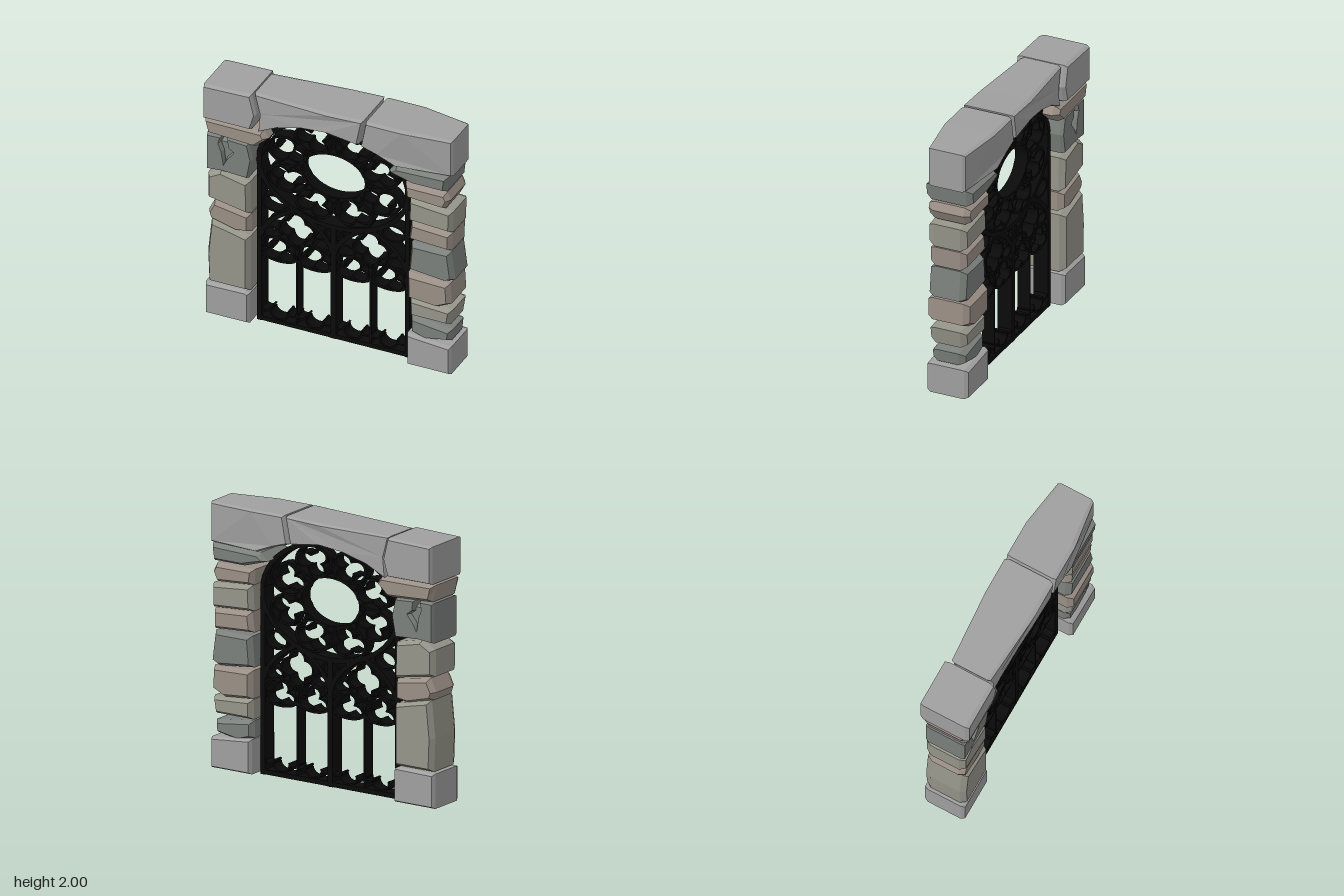
import * as THREE from 'three';

const GREY = 0xa0a0a0, BROWN = 0x9a8f86, TAN = 0x96958a, SLATE = 0x7b807c;
const materials = {};
const mat = (color) => (materials[color] ??= new THREE.MeshStandardMaterial({ color, flatShading: true }));

// Chamfered stone block from its front outline; taper(x) scales its depth
function stone(name, color, outline, half, { bevel = 0.025, chamfer = 0.045, taper } = {}) {
  const shape = new THREE.Shape(outline.map(([x, y]) => new THREE.Vector2(x, y)));
  const geo = new THREE.ExtrudeGeometry(shape, {
    depth: 2 * (half - chamfer), steps: 1, bevelEnabled: true, bevelSegments: 1,
    bevelSize: bevel, bevelOffset: -bevel, bevelThickness: chamfer,
  });
  geo.translate(0, 0, chamfer - half);
  if (taper) {
    const p = geo.attributes.position;
    for (let i = 0; i < p.count; i++) p.setZ(i, p.getZ(i) * taper(p.getX(i)));
    geo.computeVertexNormals();
  }
  const mesh = new THREE.Mesh(geo, mat(color));
  mesh.name = name;
  return mesh;
}

// Rectangular bar swept along a flat path
function bar(name, path, width, half = 0.05, closed = false) {
  const n = path.length, pos = [], loops = [];
  const quad = (a, b, c, d) => pos.push(...a, ...b, ...c, ...a, ...c, ...d);
  for (let i = 0; i < n; i++) {
    const a = path[closed ? (i + n - 1) % n : Math.max(i - 1, 0)];
    const b = path[closed ? (i + 1) % n : Math.min(i + 1, n - 1)];
    const len = Math.hypot(b[0] - a[0], b[1] - a[1]) || 1;
    const nx = -(b[1] - a[1]) / len * width / 2, ny = (b[0] - a[0]) / len * width / 2;
    const [x, y] = path[i];
    loops.push([[x + nx, y + ny, half], [x - nx, y - ny, half], [x - nx, y - ny, -half], [x + nx, y + ny, -half]]);
  }
  for (let i = 0; i < (closed ? n : n - 1); i++) {
    const s = loops[i], e = loops[(i + 1) % n];
    for (let k = 0; k < 4; k++) {
      const q = (k + 1) % 4;
      quad(s[q], e[q], e[k], s[k]);
    }
  }
  if (!closed) {
    const [a, b, c, d] = loops[0];
    quad(a, d, c, b);
    quad(...loops[n - 1]);
  }
  const geo = new THREE.BufferGeometry();
  geo.setAttribute('position', new THREE.Float32BufferAttribute(pos, 3));
  geo.computeVertexNormals();
  const mesh = new THREE.Mesh(geo, mat(0x0a0a0a));
  mesh.name = name;
  return mesh;
}

function arc(cx, cy, rx, ry, from = 0, to = 2 * Math.PI, steps = 32) {
  const pts = [];
  const full = Math.abs(to - from) > 6.28;
  for (let i = 0; i < steps + (full ? 0 : 1); i++) {
    const t = from + (to - from) * i / steps;
    pts.push([cx + rx * Math.cos(t), cy + ry * Math.sin(t)]);
  }
  return pts;
}

// Outline of n round lobes meeting in cusps
function foil(cx, cy, rx, ry, n, turn) {
  const pts = [], s = 0.5, r = 0.47, sweep = Math.PI / n + Math.asin(s * Math.sin(Math.PI / n) / r);
  for (let k = 0; k < n; k++) {
    const t = turn + 2 * Math.PI * k / n;
    for (let i = 0; i < 12; i++) {
      const a = t - sweep + 2 * sweep * i / 12;
      pts.push([cx + rx * (s * Math.cos(t) + r * Math.cos(a)), cy + ry * (s * Math.sin(t) + r * Math.sin(a))]);
    }
  }
  return pts;
}

function buildTracery() {
  const g = new THREE.Group();
  g.name = 'tracery';
  g.position.x = -0.007;
  const thin = 0.014, deep = 0.058;
  const ring = (name, cx, cy, rx, ry, w = thin, d = 0.05) => g.add(bar(name, arc(cx, cy, rx, ry, 0, 2 * Math.PI, rx > 0.2 ? 48 : 28), w, d, true));

  // Outer frame
  g.add(bar('sill', [[-0.605, 0.02], [0.605, 0.02]], 0.035, deep));
  g.add(bar('centreMullion', [[0, 0], [0, 0.95]], 0.045, deep));
  for (const s of [-1, 1]) g.add(bar('jamb', [[s * 0.588, 0], [s * 0.588, 1.4]], 0.038, deep));

  // Rose
  const cy = 1.375;
  ring('roseRim', 0, cy, 0.592, 0.43, 0.036, deep);
  ring('oculus', 0, cy, 0.255, 0.182);
  for (let i = 0; i < 8; i++) {
    const a = (i + 0.5) * Math.PI / 4, x = 0.4 * Math.cos(a), y = cy + 0.3 * Math.sin(a);
    ring('roseCircle', x, y, 0.152, 0.114);
    g.add(bar('roseTrefoil', foil(x, y, 0.15, 0.112, 3, a + Math.PI), thin, 0.05, true));
  }
  ring('centreEye', 0, 0.89, 0.068, 0.05);

  for (const s of [-1, 1]) {
    const mid = s * 0.293;
    ring('spandrelEye', s * 0.475, 1.015, 0.092, 0.064);
    // Pointed arch of each half
    for (const side of [-1, 1]) {
      const foot = mid + side * 0.285;
      g.add(bar('pointedArch', new THREE.QuadraticBezierCurve(
        new THREE.Vector2(foot, 0.72), new THREE.Vector2(foot - side * 0.03, 0.88), new THREE.Vector2(mid, 1.01),
      ).getPoints(14).map((p) => [p.x, p.y]), 0.034, deep));
      ring('smallEye', mid + side * 0.195, 0.765, 0.068, 0.046);

      // One light: round head, trefoil, and cusped foot
      const x = mid + side * 0.14, w = 0.136;
      g.add(bar('lightHead', arc(x, 0.62, w, 0.115, 0, Math.PI, 20), thin));
      g.add(bar('lightTrefoil', foil(x, 0.615, 0.135, 0.105, 3, Math.PI / 2), thin, 0.05, true));
      g.add(bar('lightTransom', arc(x, 0.58, w, 0.05, Math.PI, 2 * Math.PI, 12), thin));
      g.add(bar('lightFoot', arc(x, 0.095, 0.07, 0.055, Math.PI, 2 * Math.PI, 12), thin));
      for (const e of [-1, 1]) {
        g.add(bar('footCusp', arc(x + e * 0.107, 0.128, 0.042, 0.042, Math.PI * 1.5 - e * 1.3, Math.PI * 1.5 + e * 1.3, 8), thin));
      }
    }
    g.add(bar('archQuatrefoil', foil(mid, 0.835, 0.142, 0.138, 4, 0), thin, 0.05, true));
    g.add(bar('thinMullion', [[mid, 0.02], [mid, 0.7]], thin));
  }
  return g;
}

export function createModel() {
  const model = new THREE.Group();
  const add = (...args) => model.add(stone(...args));

  // Lintel blocks
  add('lintelLeft', GREY, [[-0.98, 1.69], [-0.6, 1.69], [-0.56, 1.82], [-0.6, 1.98], [-0.98, 1.97]], 0.2, { bevel: 0.012, chamfer: 0.03 });
  add('lintelMiddle', GREY, [[-0.56, 1.66], [-0.4, 1.74], [-0.2, 1.8], [0, 1.825], [0.25, 1.79], [0.29, 2], [0, 1.99], [-0.59, 1.98], [-0.55, 1.82]], 0.2,
    { bevel: 0.012, chamfer: 0.03, taper: (x) => 1 - 0.35 * Math.max(0, -x) });
  add('lintelRight', GREY, [[0.27, 1.79], [0.4, 1.75], [0.55, 1.69], [0.98, 1.69], [0.98, 1.99], [0.6, 2], [0.31, 2]], 0.2,
    { bevel: 0.012, chamfer: 0.03, taper: (x) => 1 - 0.72 * Math.max(0, x - 0.6) });

  // Left pillar
  add('baseLeft', GREY, [[-0.98, 0.01], [-0.63, 0.01], [-0.63, 0.26], [-0.66, 0.275], [-0.98, 0.27]], 0.165, { bevel: 0.015, chamfer: 0.03 });
  [
    [TAN, [[-0.96, 0.28], [-0.63, 0.28], [-0.63, 0.74], [-0.75, 0.77], [-0.94, 0.81], [-0.97, 0.53]], 0.165],
    [BROWN, [[-0.95, 0.81], [-0.74, 0.755], [-0.63, 0.77], [-0.63, 0.92], [-0.92, 0.97], [-0.97, 0.87]], 0.15],
    [TAN, [[-0.97, 0.99], [-0.63, 0.93], [-0.635, 1.2], [-0.86, 1.25], [-0.97, 1.19]], 0.16],
    [BROWN, [[-0.99, 1.68], [-0.52, 1.68], [-0.48, 1.62], [-0.58, 1.53], [-0.96, 1.55]], 0.18],
  ].forEach(([c, o, h]) => add('pillarStoneLeft', c, o, h));
  // Stone with a chipped crack over a shallower core
  add('crackedStone', SLATE, [[-0.97, 1.24], [-0.84, 1.25], [-0.64, 1.24], [-0.61, 1.4], [-0.64, 1.53], [-0.81, 1.54], [-0.8, 1.46], [-0.76, 1.43],
    [-0.81, 1.37], [-0.83, 1.32], [-0.84, 1.42], [-0.865, 1.48], [-0.85, 1.54], [-0.97, 1.54]], 0.16, { bevel: 0.01, chamfer: 0.03 });
  add('crackedStoneCore', SLATE, [[-0.95, 1.27], [-0.66, 1.27], [-0.66, 1.51], [-0.95, 1.51]], 0.12);

  // Right pillar
  add('baseRight', GREY, [[0.62, 0.01], [0.97, 0.01], [0.97, 0.24], [0.62, 0.27]], 0.165, { bevel: 0.015, chamfer: 0.03 });
  [
    [SLATE, [[0.63, 0.27], [0.75, 0.23], [0.95, 0.265], [0.96, 0.36], [0.63, 0.4]], 0.13],
    [TAN, [[0.63, 0.41], [0.95, 0.41], [0.97, 0.54], [0.63, 0.56]], 0.145],
    [BROWN, [[0.62, 0.57], [0.86, 0.55], [0.965, 0.6], [0.955, 0.77], [0.62, 0.78]], 0.165],
    [SLATE, [[0.62, 0.8], [0.92, 0.77], [0.985, 0.8], [0.955, 1.03], [0.64, 1.03]], 0.145],
    [BROWN, [[0.62, 1.06], [0.96, 1.04], [0.965, 1.19], [0.64, 1.21]], 0.145],
    [TAN, [[0.62, 1.22], [0.97, 1.2], [0.975, 1.38], [0.63, 1.41]], 0.15],
    [BROWN, [[0.61, 1.42], [0.92, 1.4], [0.96, 1.48], [0.93, 1.54], [0.6, 1.54]], 0.165],
    [SLATE, [[0.48, 1.62], [0.68, 1.56], [0.94, 1.56], [0.955, 1.69], [0.54, 1.68]], 0.185],
  ].forEach(([c, o, h]) => add('pillarStoneRight', c, o, h));

  model.add(buildTracery());
  return model;
}
